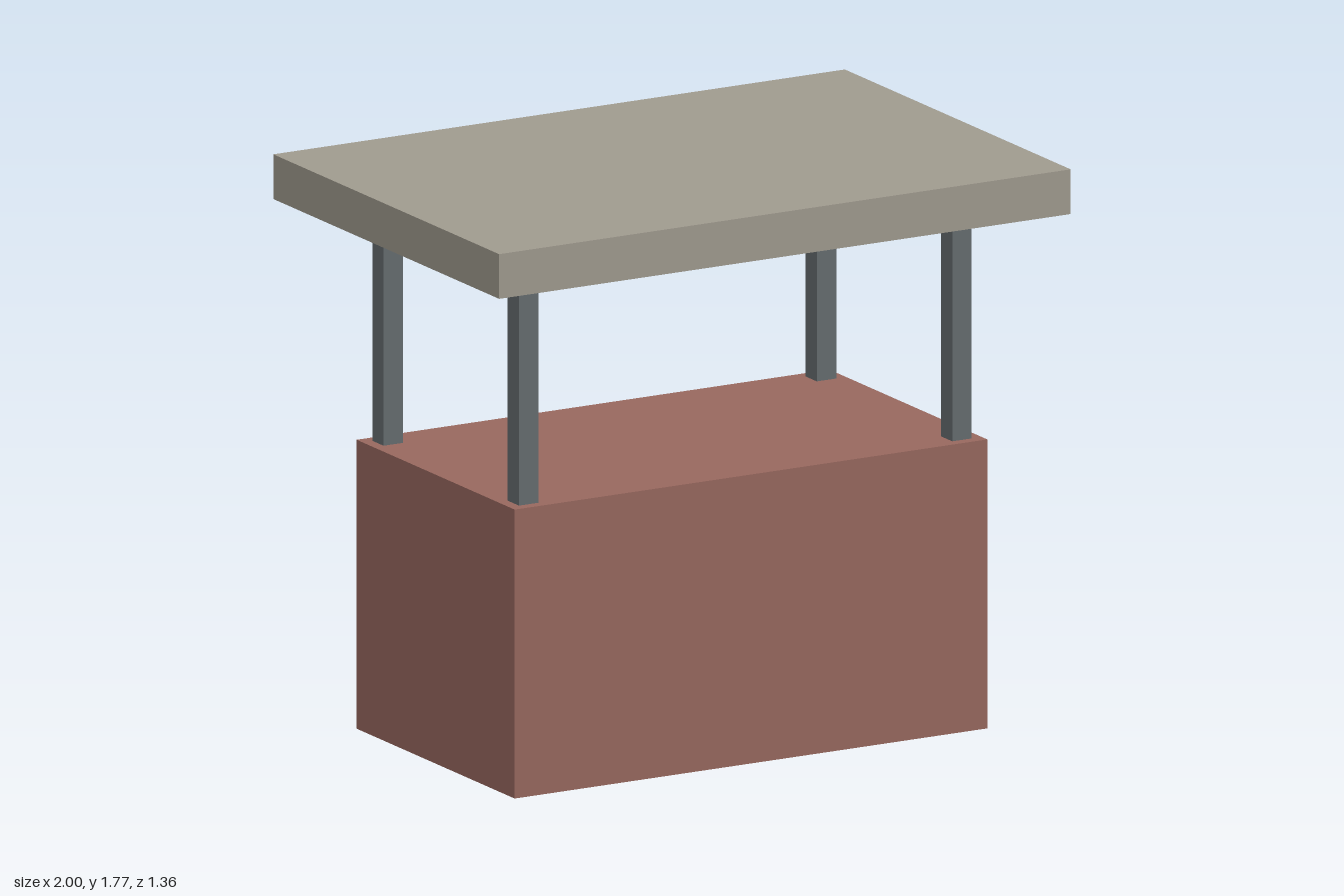
import * as THREE from 'three';

const brick = new THREE.MeshStandardMaterial({ color: 0x98685f });
const steel = new THREE.MeshStandardMaterial({ color: 0x666d70 });
const stone = new THREE.MeshStandardMaterial({ color: 0xa09b8f });

// Box standing on height y0 and reaching y1
function block(name, width, depth, y0, y1, material, x = 0, z = 0) {
  const mesh = new THREE.Mesh(new THREE.BoxGeometry(width, y1 - y0, depth), material);
  mesh.name = name;
  mesh.position.set(x, (y0 + y1) / 2, z);
  return mesh;
}

export function createModel() {
  const model = new THREE.Group();
  model.name = 'shelter';

  const baseTop = 0.905, roofBottom = 1.635, roofTop = 1.775;

  // Solid base and flat overhanging roof
  model.add(block('base', 1.654, 0.954, 0, baseTop, brick));
  model.add(block('roof', 2, 1.364, roofBottom, roofTop, stone));

  // Four square corner posts
  for (const [sideName, sx] of [['Left', 1], ['Right', -1]]) {
    for (const [endName, sz] of [['front', 1], ['back', -1]]) {
      model.add(block(`${endName}${sideName}Post`, 0.068, 0.068, baseTop, roofBottom, steel, sx * 0.758, sz * 0.409));
    }
  }
  return model;
}
